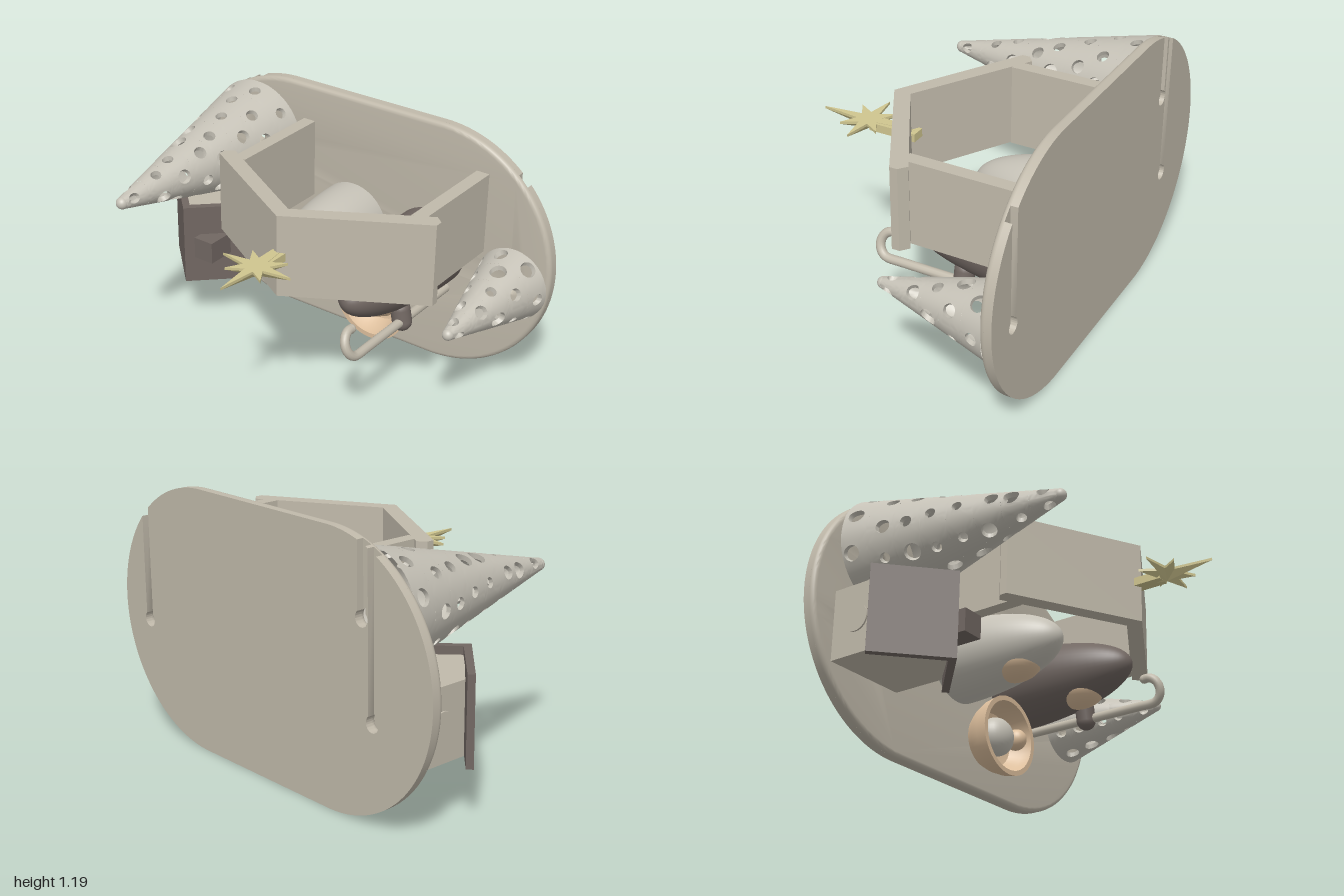
import * as THREE from 'three';
import { mergeGeometries, toCreasedNormals } from 'three/addons/utils/BufferGeometryUtils.js';

const mat = (name, color, side = THREE.FrontSide) => {
  const m = new THREE.MeshStandardMaterial({ color, side });
  m.name = name;
  return m;
};

export function createModel() {
  const model = new THREE.Group();
  const stone = mat('stone beige', 0xc0b9aa);
  const pale = mat('pale grey', 0xc5c1b6);
  const brown = mat('dark brown', 0x716762);
  const skin = mat('skin tan', 0xdcbe9c, THREE.DoubleSide);
  const gold = mat('pale gold', 0xcfc58f);

  const add = (name, geo, material, x = 0, y = 0, z = 0, parent = model) => {
    const m = new THREE.Mesh(geo, material);
    m.name = name;
    m.position.set(x, y, z);
    parent.add(m);
    return m;
  };

  // Extrude an outline given as [x, z] points upward from y0 to y1
  const upright = (pts, y0, y1) => {
    const s = new THREE.Shape(pts.map(([x, z]) => new THREE.Vector2(x, -z)));
    return new THREE.ExtrudeGeometry(s, { depth: y1 - y0, bevelEnabled: false })
      .rotateX(-Math.PI / 2).translate(0, y0, 0);
  };

  // ---- Backing plate: rounded front layer and a back layer with cable slots
  const R = 0.595, CX = 0.405, HOLE = 0.035, HALF = 0.023;
  const slots = [[0.82, 0.52], [-0.61, 0.855], [-0.67, 0.44]];

  const front = new THREE.Shape();
  front.absarc(CX, R, R, -Math.PI / 2, Math.PI / 2);
  front.absarc(-CX, R, R, Math.PI / 2, Math.PI * 1.5);
  slots.forEach(([x, y]) => front.holes.push(new THREE.Path().absarc(x, y, HOLE, 0, Math.PI * 2)));
  const frontGeo = new THREE.ExtrudeGeometry(front, {
    depth: 0.003, bevelThickness: 0.02, bevelSize: 0.02, bevelOffset: -0.02, bevelSegments: 4, curveSegments: 40,
  }).translate(0, 0, -0.613);
  const fp = frontGeo.attributes.position;
  for (let i = 0; i < fp.count; i++) fp.setZ(i, Math.max(fp.getZ(i), -0.613));
  add('plateFront', toCreasedNormals(frontGeo, 0.6), stone);

  const back = new THREE.Shape();
  let side = 1, angle = -Math.PI / 2;
  for (const [x, y] of slots) {
    const c = Math.sign(x) * CX;
    if (Math.sign(x) !== side) {
      back.absarc(side * CX, R, R, angle, Math.PI / 2);
      side = -1;
      angle = Math.PI / 2;
    }
    const t = Math.acos(HALF / HOLE);
    back.absarc(c, R, R, angle, Math.acos((x + HALF - c) / R));
    back.absarc(x, y, HOLE, t, Math.PI - t, true);
    angle = Math.acos((x - HALF - c) / R);
  }
  back.absarc(-CX, R, R, angle, Math.PI * 1.5);
  add('plateBack', toCreasedNormals(new THREE.ExtrudeGeometry(back, {
    depth: 0.032, bevelEnabled: false, curveSegments: 40,
  }), 0.6), stone, 0, 0, -0.645);

  // ---- Hollow cone trees, tiled so each tile carries one round hole
  let seed = 7;
  const rand = () => (seed = (seed * 16807) % 2147483647) / 2147483647;

  function perforatedCone(r0, r1, len, counts, holeR) {
    const N = 32, wall = 0.022;
    const rings = [[1, 1], [1, 0.5], [1, 0], [0, 0], [0, 0.35], [0, 0.7], [0, 1]];
    const tiles = [];
    counts.forEach((count, row) => {
      const dh = 0.5 / counts.length, du = Math.PI / count;
      for (let j = 0; j < count; j++) {
        const u0 = (2 * j + row * 0.9) * du, h0 = (2 * row + 1) * dh;
        const radius = r0 + (r1 - r0) * h0;
        const hole = Math.min(holeR * (0.6 + 0.5 * rand()), radius * du * 0.6);
        const ju = (rand() - 0.5) * 0.3 * du, jh = (rand() - 0.5) * 0.6 * dh;
        const pos = [], idx = [];
        rings.forEach(([inside, s], i) => {
          for (let k = 0; k <= N; k++) {
            const a = (k / N) * Math.PI * 2, c = Math.cos(a), d = Math.sin(a);
            const m = Math.max(Math.abs(c), Math.abs(d));
            const u = u0 + (1 - s) * (ju + c * hole / radius) + s * du * c / m;
            const h = h0 + (1 - s) * (jh + d * hole / len) + s * dh * d / m;
            const full = r0 + (r1 - r0) * h;
            const r = full - inside * Math.min(wall, full * 0.6);
            pos.push(r * Math.cos(u), r * Math.sin(u), h * len);
            if (i && k) {
              const q = i * (N + 1) + k, p = q - N - 1;
              idx.push(p - 1, q - 1, q, p - 1, q, p);
            }
          }
        });
        const g = new THREE.BufferGeometry();
        g.setAttribute('position', new THREE.Float32BufferAttribute(pos, 3));
        g.setIndex(idx);
        tiles.push(g);
      }
    });
    return toCreasedNormals(mergeGeometries(tiles), 0.7);
  }

  const dome = new THREE.SphereGeometry(1, 40, 20, 0, Math.PI * 2, 0, Math.PI / 2).rotateX(Math.PI / 2);
  const cone = (name, x, y, r0, r1, len, counts, holeR) => {
    const g = new THREE.Group();
    g.name = name;
    g.position.set(x, y, -0.592);
    add('coneShell', perforatedCone(r0, r1, len, counts, holeR), pale, 0, 0, 0, g);
    add('coneTip', dome, pale, 0, 0, len, g).scale.setScalar(r1);
    model.add(g);
  };
  cone('largeConeTree', -0.607, 0.877, 0.258, 0.028, 0.965, [9, 9, 8, 7, 6, 5, 4, 3], 0.036);
  cone('smallConeTree', 0.817, 0.525, 0.172, 0.026, 0.535, [7, 6, 5, 4, 3], 0.034);

  // ---- Stable: two side walls and a gabled roof
  add('stableRoof', upright([[-0.4, -0.05], [0.168, 0.275], [0.737, -0.05], [0.737, -0.085], [0.7, -0.115],
    [0.168, 0.195], [-0.364, -0.115], [-0.4, -0.085]], 0.638, 1.018), stone);
  for (const s of [-1, 1]) {
    add('stableWall', new THREE.BoxGeometry(0.063, 0.38, 0.53), stone, 0.168 + s * 0.467, 0.828, -0.33);
  }

  // ---- Eight-pointed star with faceted underside, on a stem
  const spike = (geo) => {
    const p = geo.attributes.position;
    for (let i = 0; i < p.count; i++) {
      const x = p.getX(i), z = p.getZ(i);
      if (Math.hypot(x, z) < 0.01) continue;
      const j = (Math.round(Math.atan2(x, z) / (Math.PI / 8)) + 16) % 16;
      const r = j % 2 ? 0.055 : j % 4 === 2 ? 0.13 : j % 8 === 4 ? 0.175 : 0.23;
      p.setXYZ(i, x * r, p.getY(i), z * r);
    }
    return toCreasedNormals(geo, 0.1);
  };
  add('starPlate', spike(new THREE.CylinderGeometry(1, 1, 0.012, 16)), gold, 0.168, 0.841, 0.41);
  add('starFacets', spike(new THREE.ConeGeometry(1, 0.038, 16).rotateX(Math.PI)), gold, 0.168, 0.817, 0.41);
  add('starStem', new THREE.BoxGeometry(0.065, 0.038, 0.23), gold, 0.168, 0.826, 0.275);

  // ---- Two robed figures with faces
  const ball = new THREE.SphereGeometry(1, 32, 20);
  const figure = (name, x, len, material) => {
    add(name + 'Robe', dome, material, x, 0.572, -0.592).scale.set(0.188, 0.19, len);
    add(name + 'Face', ball, skin, x - 0.005, 0.49, -0.592 + len * 0.58).scale.set(0.1, 0.085, 0.13);
  };
  figure('paleFigure', -0.042, 0.575, pale);
  figure('darkFigure', 0.382, 0.67, brown);

  // ---- Staff with a hooked end, held by a hand
  const staffPts = [new THREE.Vector3(0.485, 0.387, -0.59), new THREE.Vector3(0.485, 0.387, -0.2),
    new THREE.Vector3(0.485, 0.387, 0.06)];
  for (let i = 0; i <= 8; i++) {
    const a = -Math.PI / 2 + (i / 8) * Math.PI * 1.08, up = 0.055 * (1 + Math.sin(a));
    staffPts.push(new THREE.Vector3(0.485 - up * 0.4, 0.387 + up, 0.125 + 0.055 * Math.cos(a)));
  }
  add('staff', new THREE.TubeGeometry(new THREE.CatmullRomCurve3(staffPts), 80, 0.021, 12), stone);
  const end = staffPts[staffPts.length - 1];
  add('staffEnd', ball, stone, end.x, end.y, end.z).scale.setScalar(0.021);
  add('hand', new THREE.CapsuleGeometry(0.045, 0.06, 8, 20), brown, 0.472, 0.408, -0.235).rotation.z = 0.2;

  // ---- Cradle bowl with a swaddled baby
  const bowl = [[0, 0], [0.125, 0], [0.155, 0.04], [0.178, 0.09], [0.188, 0.145], [0.165, 0.145],
    [0.155, 0.1], [0.125, 0.05], [0, 0.02]].map(([r, h]) => new THREE.Vector2(r, h));
  add('cradle', toCreasedNormals(new THREE.LatheGeometry(bowl, 48).rotateX(Math.PI / 2), 0.6),
    skin, 0.167, 0.255, -0.592);
  add('babyBody', ball, pale, 0.148, 0.255, -0.51).scale.set(0.092, 0.09, 0.075);
  add('babyHead', ball, skin, 0.242, 0.26, -0.468).scale.set(0.045, 0.05, 0.052);

  // ---- Small cottage with gabled roof, chimney and round side windows
  const hx = -0.665;
  add('cottageBody', upright([[hx - 0.205, -0.592], [hx + 0.205, -0.592], [hx + 0.205, -0.34],
    [hx, -0.13], [hx - 0.205, -0.34]], 0.285, 0.605), stone);
  add('cottageRoof', upright([[hx - 0.265, -0.345], [hx, -0.09], [hx + 0.265, -0.345], [hx + 0.242, -0.367],
    [hx, -0.137], [hx - 0.242, -0.367]], 0.247, 0.642), brown);
  add('chimney', new THREE.BoxGeometry(0.105, 0.105, 0.14), brown, -0.557, 0.447, -0.17);
  for (const s of [-1, 1]) {
    add('roundWindow', new THREE.CylinderGeometry(0.06, 0.06, 0.009, 28).rotateZ(Math.PI / 2),
      stone, hx + s * 0.208, 0.445, -0.46);
  }
  return model;
}
